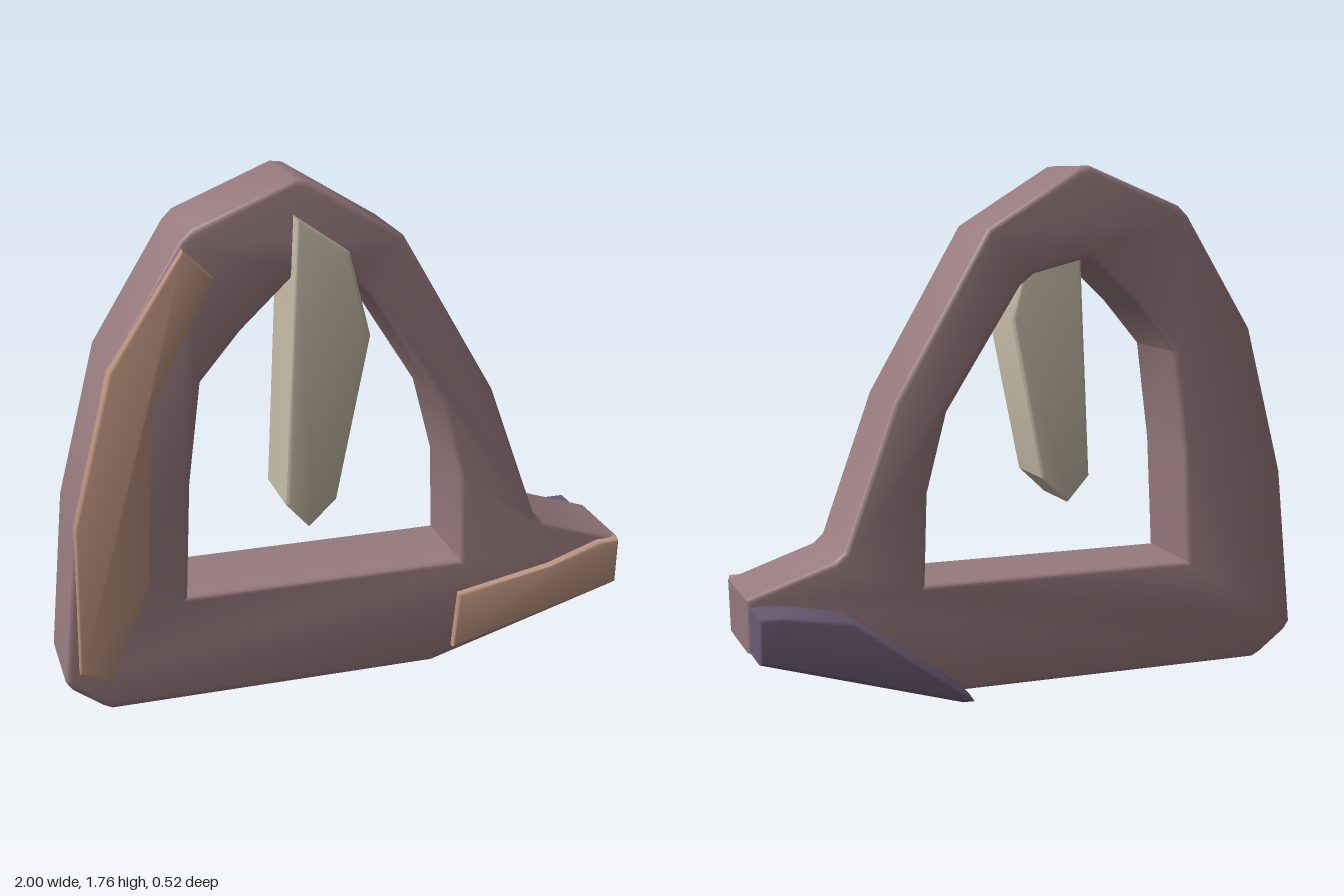
import * as THREE from 'three';
import { toCreasedNormals } from 'three/addons/utils/BufferGeometryUtils.js';

const toPoints = (list) => list.map(([x, y]) => new THREE.Vector2(x, y));

// Plate with softly rounded edges, cut from an outline between two depths
function plate(name, color, outline, back, front, bevel, hole) {
  const shape = new THREE.Shape(toPoints(outline));
  if (hole) shape.holes.push(new THREE.Path(toPoints(hole)));
  const geometry = new THREE.ExtrudeGeometry(shape, {
    depth: front - back - 2 * bevel,
    bevelEnabled: true,
    bevelThickness: bevel,
    bevelSize: bevel,
    bevelOffset: -bevel,
    bevelSegments: 3,
  });
  geometry.translate(0, 0, back + bevel);
  const mesh = new THREE.Mesh(
    toCreasedNormals(geometry, 0.6),
    new THREE.MeshStandardMaterial({ color })
  );
  mesh.name = name;
  return mesh;
}

export function createModel() {
  const group = new THREE.Group();
  group.name = 'archedFrame';

  // Thick arched frame with a foot on its left
  const frameOutline = [
    [-1, 0.12], [-0.98, 0.09], [-0.88, 0.015], [-0.85, 0], [0.29, 0], [0.99, 0.205],
    [0.995, 0.385], [0.7, 0.485], [0.665, 0.515], [0.49, 1], [0.165, 1.56],
    [-0.16, 1.76], [-0.2, 1.765], [-0.53, 1.63], [-0.565, 1.595], [-0.81, 1.2], [-0.945, 0.68],
  ];
  const frameHole = [
    [-0.58, 0.38], [-0.56, 0.78], [-0.515, 1.13], [-0.38, 1.29], [-0.2, 1.46],
    [0, 1.41], [0.05, 1.37], [0.31, 0.96], [0.38, 0.69], [0.39, 0.38],
  ];
  group.add(plate('frame', 0x977a7e, frameOutline, -0.105, 0.215, 0.018, frameHole));

  // Thin inlays on the front face
  group.add(plate('sideInlay', 0xb8917c, [
    [-0.955, 0.16], [-0.855, 0.11], [-0.71, 0.46], [-0.68, 1.07],
    [-0.47, 1.48], [-0.565, 1.575], [-0.81, 1.2], [-0.945, 0.68],
  ], 0.18, 0.24, 0.008));
  group.add(plate('footInlay', 0xb8917c, [
    [0.36, 0.055], [0.98, 0.225], [0.985, 0.39], [0.91, 0.39], [0.72, 0.325], [0.38, 0.26],
  ], 0.18, 0.24, 0.008));

  // Spike hanging from the top of the arch
  group.add(plate('spike', 0xc6baa6, [
    [-0.205, 1.655], [-0.25, 0.69], [-0.17, 0.6], [-0.075, 0.69], [0.04, 1.25], [-0.03, 1.53],
  ], 0.01, 0.26, 0.014));

  // Wedge behind the foot
  group.add(plate('rearWedge', 0x6b5a74, [
    [0.27, 0.01], [0.31, 0.01], [0.985, 0.21], [0.985, 0.36], [0.9, 0.36], [0.68, 0.32], [0.29, 0.04],
  ], -0.26, -0.06, 0.012));

  return group;
}
